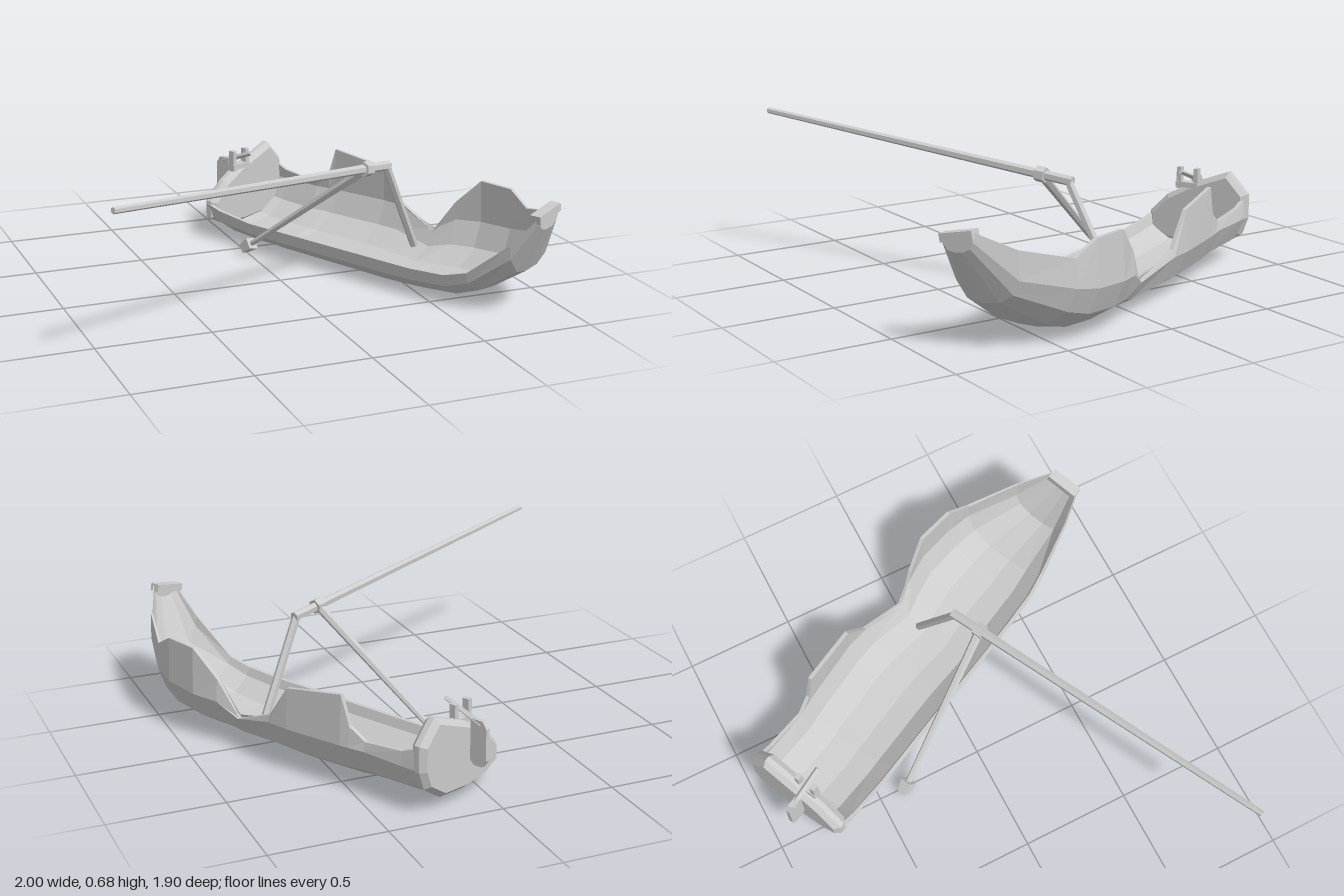
import * as THREE from 'three';

const mat = new THREE.MeshStandardMaterial({ color: 0xcccccc, flatShading: true, side: THREE.DoubleSide });
const V = (x, y, z) => new THREE.Vector3(x, y, z);

function add(parent, name, geometry) {
  const mesh = new THREE.Mesh(geometry, mat);
  mesh.name = name;
  parent.add(mesh);
  return mesh;
}

// Tapered spar running from a to b
function spar(parent, name, a, b, ra, rb, sides = 6) {
  const dir = b.clone().sub(a);
  const mesh = add(parent, name, new THREE.CylinderGeometry(rb, ra, dir.length(), sides));
  mesh.position.copy(a).add(b).multiplyScalar(0.5);
  mesh.quaternion.setFromUnitVectors(V(0, 1, 0), dir.normalize());
  return mesh;
}

function box(parent, name, size, pos, rot = [0, 0, 0]) {
  const mesh = add(parent, name, new THREE.BoxGeometry(...size));
  mesh.position.set(...pos);
  mesh.rotation.set(...rot);
  return mesh;
}

// Hull stations, stern to bow:
// length, left edge, right edge, bottom, left rim, chine, right rim
const stations = [
  [-0.70, 0.235, 0.725, 0.04, 0.17, 0.20, 0.30],
  [-0.60, 0.225, 0.725, 0.02, 0.15, 0.20, 0.26],
  [-0.40, 0.22, 0.72, 0.01, 0.13, 0.20, 0.24],
  [-0.325, 0.22, 0.73, 0.01, 0.13, 0.20, 0.29],
  [-0.285, 0.22, 0.735, 0.005, 0.13, 0.20, 0.42],
  [0.00, 0.22, 0.755, 0.00, 0.13, 0.20, 0.38],
  [0.11, 0.22, 0.75, 0.00, 0.13, 0.20, 0.23],
  [0.335, 0.22, 0.71, 0.00, 0.13, 0.20, 0.14],
  [0.44, 0.22, 0.735, 0.00, 0.13, 0.20, 0.30],
  [0.565, 0.22, 0.755, 0.005, 0.13, 0.21, 0.42],
  [0.74, 0.225, 0.735, 0.02, 0.14, 0.22, 0.42],
  [0.85, 0.24, 0.70, 0.06, 0.17, 0.24, 0.36],
  [1.05, 0.265, 0.56, 0.19, 0.33, 0.30, 0.42],
  [1.17, 0.29, 0.43, 0.41, 0.47, 0.46, 0.50],
];

// Closed section: outer planking left to right, then the inner skin back
function section([w, uL, uR, yb, yL, chine, yR]) {
  const h = Math.min(chine, yR) - yb;
  const outer = [
    [0, yL], [0.03, yb + 0.55 * (yL - yb)], [0.2, yb + 0.08 * (yL - yb)], [0.43, yb],
    [0.7, yb + 0.1 * h], [0.91, yb + 0.45 * h], [1, yb + h], [0.98, yR],
  ].map(([t, y]) => [uL + t * (uR - uL), y]);
  const mid = (uL + uR) / 2;
  const inner = outer.map(([u, y], i) =>
    [mid + (u - mid) * 0.93, y + (i === 0 || i === 7 ? 0 : 0.015)]).reverse();
  return [...outer, ...inner].map(([u, y]) => [u, y, w]);
}

function hullGeometry() {
  const rings = stations.map(section), n = rings[0].length, index = [];
  for (let s = 0; s < rings.length - 1; s++)
    for (let i = 0; i < n; i++) {
      const a = s * n + i, b = s * n + (i + 1) % n;
      index.push(a, b, a + n, b, b + n, a + n);
    }
  // Bow end closed as a small fan
  const last = (rings.length - 1) * n;
  for (let i = 1; i < 7; i++) index.push(last, last + i, last + i + 1);
  const g = new THREE.BufferGeometry();
  g.setAttribute('position', new THREE.Float32BufferAttribute(rings.flat(2), 3));
  g.setIndex(index);
  g.computeVertexNormals();
  return g;
}

export function createModel() {
  const model = new THREE.Group();
  const boat = new THREE.Group();
  boat.name = 'boat';
  boat.rotation.y = 0.453;
  model.add(boat);

  add(boat, 'hull', hullGeometry());

  // Stern board, broken lower on its left side
  const board = new THREE.Shape([
    [0.26, 0.17], [0.26, 0.11], [0.34, 0.07], [0.45, 0.06], [0.59, 0.07], [0.68, 0.13],
    [0.705, 0.2], [0.705, 0.3], [0.63, 0.38], [0.45, 0.31], [0.34, 0.25],
  ].map(p => new THREE.Vector2(...p)));
  const transom = add(boat, 'transom', new THREE.ExtrudeGeometry(board, {
    depth: 0.025, bevelEnabled: true, bevelThickness: 0.025, bevelSize: 0.022, bevelSegments: 1,
  }));
  transom.position.z = -0.7;

  box(boat, 'bowRail', [0.15, 0.035, 0.05], [0.36, 0.475, 1.155], [0, 0, 0.2]);

  // Rudder blade with clipped corners, hung behind the stern
  const blade = new THREE.Shape([
    [0.73, 0.17], [0.75, 0.15], [0.79, 0.15], [0.81, 0.18], [0.81, 0.32], [0.79, 0.35], [0.73, 0.35],
  ].map(p => new THREE.Vector2(...p)));
  const rudder = add(boat, 'rudder', new THREE.ExtrudeGeometry(blade, { depth: 0.022, bevelEnabled: false }));
  rudder.rotation.y = Math.PI / 2;
  rudder.position.x = 0.421;
  spar(boat, 'tiller', V(0.432, 0.33, -0.78), V(0.432, 0.4, -0.59), 0.014, 0.011, 4);
  for (const u of [0.39, 0.475])
    box(boat, 'tillerPost', [0.022, 0.1, 0.03], [u, 0.355, -0.67]);
  box(boat, 'tillerBracket', [0.11, 0.025, 0.04], [0.432, 0.325, -0.67]);

  // Snapped mast: stump standing in the hull, upper length fallen over the side
  const butt = V(0.47, 0.52, 0.12), tip = V(-0.995, 0.67, 0.82);
  spar(model, 'mast', butt, tip, 0.022, 0.014);
  spar(model, 'mastStump', V(0.65, 0.1, 0.03), V(0.455, 0.52, 0.13), 0.019, 0.019);

  // Hanging yard with a collar at the mast and a block at its lower end
  const joint = butt.clone().lerp(tip, 0.093), foot = V(-0.015, 0.05, -0.375);
  spar(model, 'yard', foot, joint, 0.013, 0.021);
  const along = tip.clone().sub(butt).normalize().multiplyScalar(0.022);
  spar(model, 'collar', joint.clone().sub(along), joint.clone().add(along), 0.034, 0.034);
  const drop = foot.clone().sub(joint).normalize().multiplyScalar(0.03);
  spar(model, 'yardBlock', foot.clone().sub(drop), foot.clone().add(drop), 0.038, 0.028, 4);

  return model;
}
